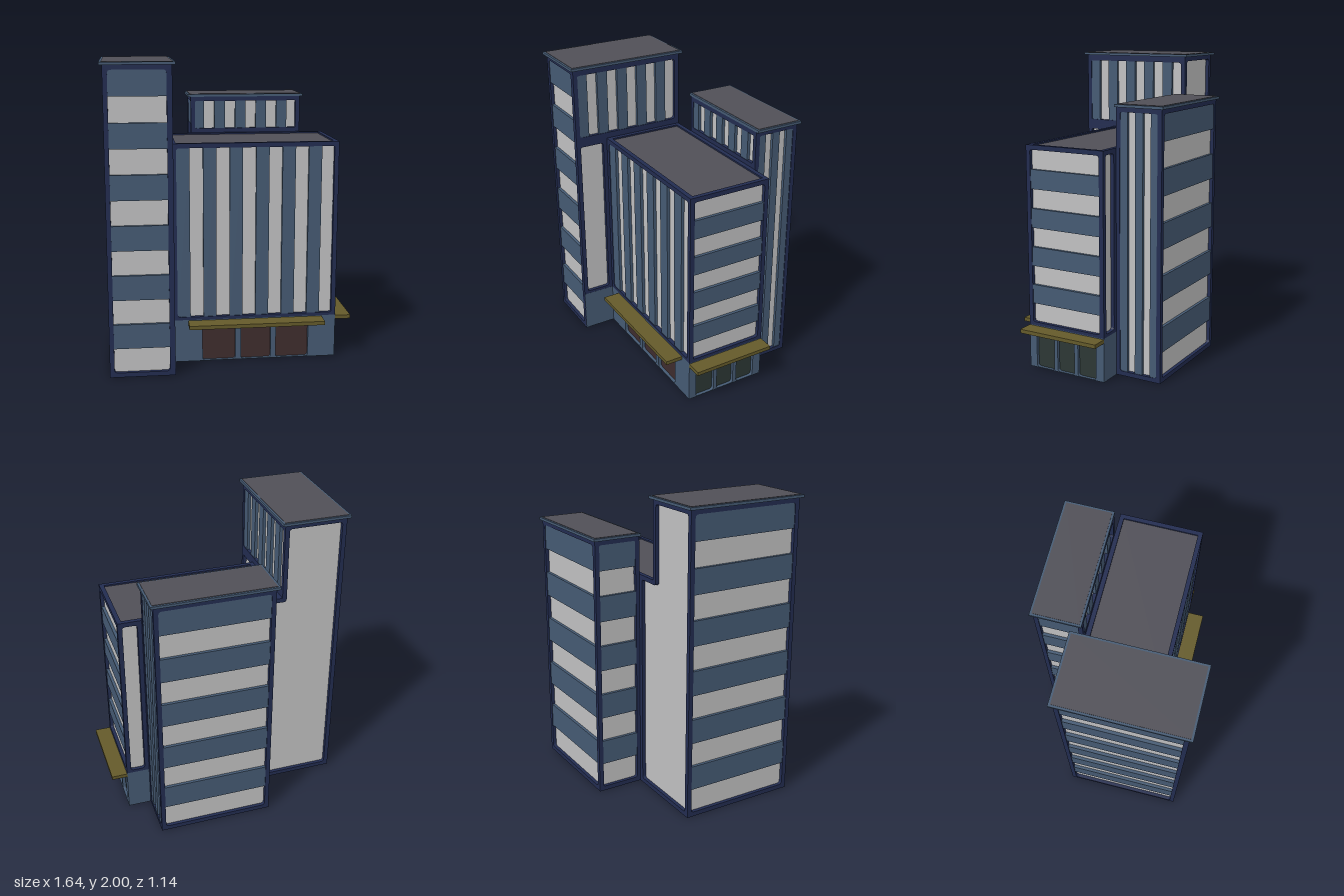
import * as THREE from 'three';

const paint = (name, color, side = THREE.FrontSide) => {
  const m = new THREE.MeshStandardMaterial({ color, side });
  m.name = name;
  return m;
};
const navy = paint('navy frame', 0x222c50);
const blue = paint('slate blue', 0x455a73);
const grey = paint('pale grey panel', 0xc0c0c1, THREE.DoubleSide);
const roofGrey = paint('roof grey', 0x504f57);
const olive = paint('olive canopy', 0x645a2a);
const brown = paint('brown door', 0x3e2c2d, THREE.DoubleSide);
const green = paint('dark green glass', 0x2c3734, THREE.DoubleSide);

const FRAME = 0.03; // wall thickness

const rect = (x0, y0, x1, y1) => [[x0, y0], [x1, y0], [x1, y1], [x0, y1]];

// Closed polygon path with softened corners
function trace(path, points, r = 0) {
  const v = points.map(([x, y]) => new THREE.Vector2(x, y));
  v.forEach((p, i) => {
    const toward = (q) => p.clone().add(q.clone().sub(p).setLength(r));
    const a = toward(v[(i + v.length - 1) % v.length]);
    const b = toward(v[(i + 1) % v.length]);
    if (i === 0) path.moveTo(a.x, a.y); else path.lineTo(a.x, a.y);
    if (r > 0) path.quadraticCurveTo(p.x, p.y, b.x, b.y);
  });
  path.closePath();
  return path;
}

function add(parent, name, geometry, material) {
  const mesh = new THREE.Mesh(geometry, material);
  mesh.name = name;
  parent.add(mesh);
  return mesh;
}

function box(parent, name, material, x0, x1, y0, y1, z0, z1) {
  const mesh = add(parent, name, new THREE.BoxGeometry(x1 - x0, y1 - y0, z1 - z0), material);
  mesh.position.set((x0 + x1) / 2, (y0 + y1) / 2, (z0 + z1) / 2);
  return mesh;
}

// Wall plate with openings, outer face at local z = 0
function pierced(parent, name, material, outline, holes, r) {
  const shape = trace(new THREE.Shape(), outline);
  holes.forEach((h) => shape.holes.push(trace(new THREE.Path(), h, r)));
  const geo = new THREE.ExtrudeGeometry(shape, { depth: FRAME, bevelEnabled: false, curveSegments: 4 });
  add(parent, name, geo.translate(0, 0, -FRAME), material);
}

function flat(parent, name, material, points, z) {
  add(parent, name, new THREE.ShapeGeometry(trace(new THREE.Shape(), points)), material).position.z = z;
}

// Local x runs to the right as seen from outside each side
const sides = {
  front: (g, d) => g.position.set(0, 0, d),
  right: (g, d) => { g.rotation.y = Math.PI / 2; g.position.x = d; },
  back: (g, d) => { g.rotation.y = Math.PI; g.position.z = d; },
  left: (g, d) => { g.rotation.y = -Math.PI / 2; g.position.x = d; },
};

function wallGroup(parent, name, side, d) {
  const g = new THREE.Group();
  g.name = name;
  sides[side](g, d);
  parent.add(g);
  return g;
}

// Framed facade: recessed grey panel with raised blue bands.
// Bands number from the left or the bottom; first is the index of the first blue one.
function facade(parent, name, side, d, outer, inner, bands = 0, dir = 'v', first = 0) {
  const g = wallGroup(parent, name, side, d);
  const [x0, y0, x1, y1] = inner;
  pierced(g, 'frame', navy, rect(...outer), [rect(...inner)], 0.022);
  flat(g, 'panel', grey, rect(x0 - 0.008, y0 - 0.008, x1 + 0.008, y1 + 0.008), -0.024);
  const e = 0.006; // bands tuck under the frame
  for (let i = first; i < bands; i += 2) {
    if (dir === 'v') {
      const w = (x1 - x0) / bands;
      box(g, 'verticalBand', blue, x0 + i * w, x0 + (i + 1) * w, y0 - e, y1 + e, -0.031, -0.004);
    } else {
      const h = (y1 - y0) / bands;
      box(g, 'horizontalBand', blue, x0 - e, x1 + e, y0 + i * h, y0 + (i + 1) * h, -0.031, -0.004);
    }
  }
}

// Ground floor wall with recessed doors
function storefront(parent, name, side, d, x0, x1, doors, material) {
  const g = wallGroup(parent, name, side, d);
  const openings = doors.map(([a, b]) => rect(a, 0.004, b, 0.235));
  pierced(g, 'baseWall', blue, rect(x0, 0, x1, 0.29), openings, 0.02);
  doors.forEach(([a, b]) => {
    flat(g, 'door', material, rect(a - 0.005, 0, b + 0.005, 0.24), -0.022);
  });
}

// Overhanging flat roof with a blue rim
function cap(parent, name, x0, x1, y0, y1, z0, z1) {
  box(parent, name + 'Rim', blue, x0, x1, y0, y1 - 0.003, z0, z1);
  const t = 0.014;
  box(parent, name + 'Top', roofGrey, x0 + t, x1 - t, y1 - 0.005, y1, z0 + t, z1 - t);
}

export function createModel() {
  const model = new THREE.Group();
  model.name = 'officeBuilding';
  const part = (name) => {
    const g = new THREE.Group();
    g.name = name;
    model.add(g);
    return g;
  };

  // Tall tower
  const tower = part('tower');
  facade(tower, 'towerFront', 'front', 0.55, [-0.8, 0, -0.38, 1.98], [-0.77, 0.03, -0.415, 1.95], 12, 'h', 1);
  facade(tower, 'towerOuterSide', 'left', -0.8, [-0.24, 0, 0.55, 1.98], [-0.21, 0.03, 0.52, 1.95], 12, 'h', 1);
  facade(tower, 'towerUpperSide', 'right', -0.38, [-0.55, 1.47, 0.24, 1.98], [-0.525, 1.51, 0.21, 1.94], 10, 'v', 0);
  facade(tower, 'towerLowerSide', 'right', -0.38, [-0.55, 0.29, -0.325, 1.47], [-0.525, 0.31, -0.352, 1.44]);
  box(tower, 'towerBase', blue, -0.41, -0.379, 0.002, 0.29, 0.325, 0.549);
  cap(tower, 'towerRoof', -0.82, -0.36, 1.98, 2, -0.26, 0.57);

  // Stepped plain rear wall shared by tower and main block
  const rear = wallGroup(model, 'rearWall', 'back', -0.24);
  const step = (t) => [
    [0.21 + t, t], [0.8 - t, t], [0.8 - t, 1.98 - t],
    [0.38 + t, 1.98 - t], [0.38 + t, 1.47 - t], [0.21 + t, 1.47 - t],
  ];
  pierced(rear, 'frame', navy, step(0), [step(0.03)], 0.02);
  flat(rear, 'panel', grey, step(0.022), -0.024);

  // Main block
  const main = part('mainBlock');
  facade(main, 'mainFront', 'front', 0.325, [-0.38, 0.29, 0.715, 1.47], [-0.35, 0.31, 0.69, 1.44], 12, 'v', 0);
  facade(main, 'mainSide', 'right', 0.715, [-0.325, 0.29, 0.24, 1.47], [-0.298, 0.31, 0.21, 1.44], 9, 'h', 1);
  facade(main, 'mainBack', 'back', -0.24, [-0.715, 0.29, -0.56, 1.47], [-0.687, 0.31, -0.588, 1.44]);
  box(main, 'mainBackBase', blue, 0.56, 0.715, 0, 0.29, -0.24, -0.21);
  box(main, 'mainRoof', roofGrey, -0.37, 0.7, 1.445, 1.46, -0.22, 0.31);
  box(main, 'rearRim', navy, -0.38, 0.715, 1.44, 1.47, -0.24, -0.21);
  box(main, 'innerRim', navy, -0.38, -0.35, 1.44, 1.47, -0.24, 0.325);

  // Ground floor doors and canopies
  const ground = part('groundFloor');
  storefront(ground, 'frontDoors', 'front', 0.325, -0.38, 0.715, [[-0.185, 0.035], [0.073, 0.275], [0.31, 0.53]], brown);
  storefront(ground, 'sideDoors', 'right', 0.715, -0.325, 0.24, [[-0.272, -0.135], [-0.11, 0.018], [0.045, 0.18]], green);
  box(ground, 'frontCanopy', olive, -0.28, 0.62, 0.26, 0.285, 0.32, 0.44);
  box(ground, 'sideCanopy', olive, 0.71, 0.82, 0.26, 0.285, -0.24, 0.325);

  // Rear block
  const rearBlock = part('rearBlock');
  facade(rearBlock, 'rearBlockFront', 'front', -0.24, [-0.21, 1.47, 0.56, 1.72], [-0.19, 1.5, 0.54, 1.69], 10, 'v', 0);
  facade(rearBlock, 'rearBlockBack', 'back', -0.555, [-0.56, 0, 0.21, 1.72], [-0.53, 0.03, 0.18, 1.69], 10, 'h', 1);
  facade(rearBlock, 'rearBlockSide', 'right', 0.56, [0.24, 0, 0.555, 1.72], [0.265, 0.03, 0.53, 1.69], 5, 'v', 0);
  facade(rearBlock, 'rearBlockInnerSide', 'left', -0.21, [-0.555, 0, -0.24, 1.72], [-0.53, 0.03, -0.265, 1.69], 10, 'h', 1);
  cap(rearBlock, 'rearBlockRoof', -0.23, 0.58, 1.72, 1.74, -0.57, -0.24);

  return model;
}
